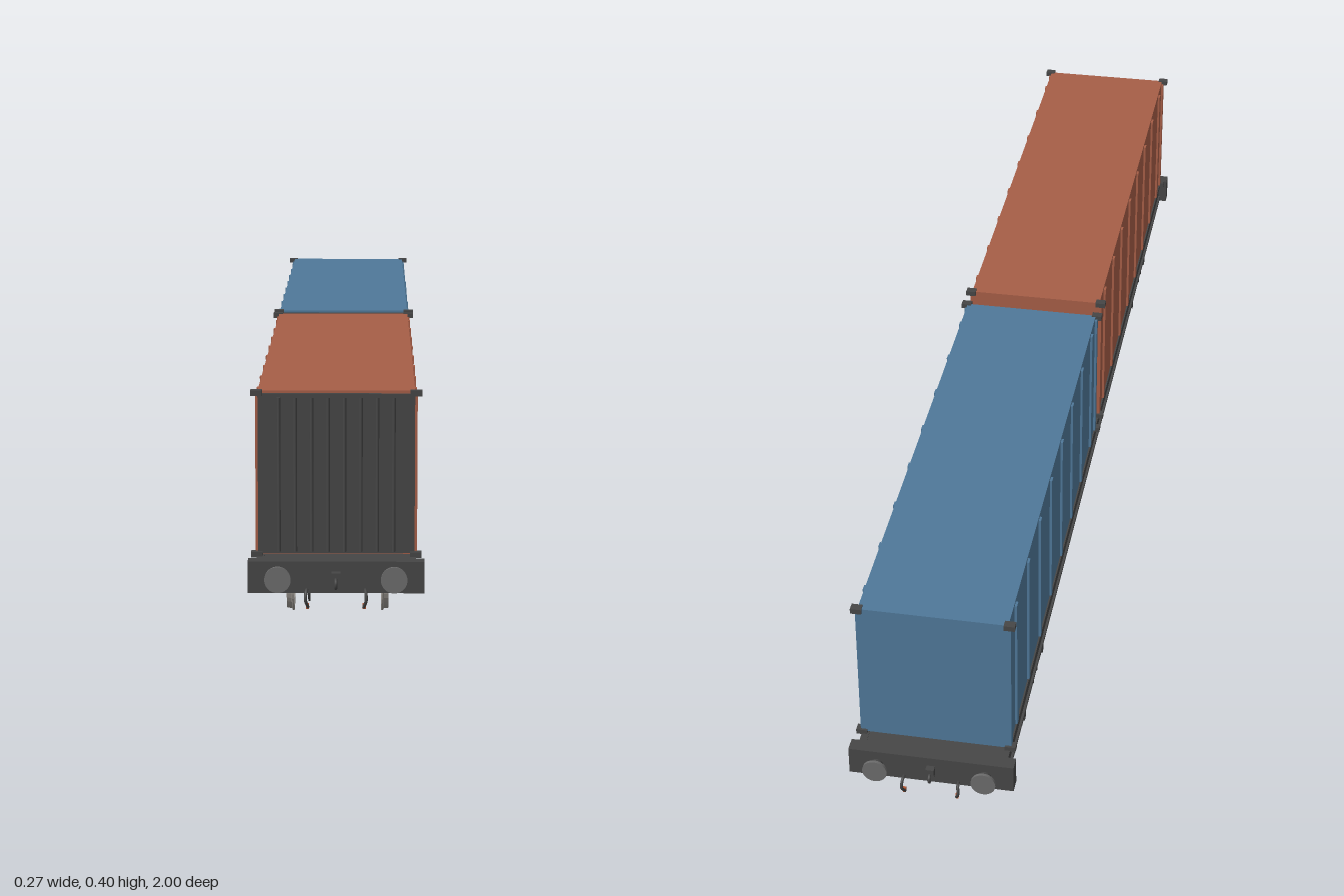
import * as THREE from 'three';

const mat = (name, color, side = THREE.FrontSide) => {
  const m = new THREE.MeshStandardMaterial({ color, side });
  m.name = name;
  return m;
};

export function createModel() {
  const dark = mat('dark steel', 0x464646);
  const red = mat('rust red', 0xa65e47);
  const blue = mat('steel blue', 0x4f7899);
  const wheelGrey = mat('wheel steel', 0x9a958f);
  const bufferGrey = mat('buffer grey', 0x6c6c6c);
  const orange = mat('tap orange', 0xb0532f);

  const root = new THREE.Group();
  root.name = 'containerWagon';

  const add = (parent, name, geo, material, x = 0, y = 0, z = 0) => {
    const m = new THREE.Mesh(geo, material);
    m.name = name;
    m.position.set(x, y, z);
    parent.add(m);
    return m;
  };
  const box = (p, name, m, w, h, d, x, y, z) => add(p, name, new THREE.BoxGeometry(w, h, d), m, x, y, z);
  const group = (p, name) => {
    const g = new THREE.Group();
    g.name = name;
    p.add(g);
    return g;
  };
  const cylX = (r, len, seg = 24) => new THREE.CylinderGeometry(r, r, len, seg).rotateZ(Math.PI / 2);
  const cylZ = (r, len, seg = 24) => new THREE.CylinderGeometry(r, r, len, seg).rotateX(Math.PI / 2);

  // Shipping container: ribbed sides, plain back, dark corrugated doors in front
  function container(name, paint, z0, z1) {
    const g = group(root, name);
    const len = z1 - z0, mid = (z0 + z1) / 2;
    box(g, 'containerBody', paint, 0.244, 0.258, len, 0, 0.265, mid);
    for (const s of [-1, 1]) {
      for (let i = 0; i < 8; i++)
        box(g, 'sideRib', paint, 0.005, 0.25, 0.012, s * 0.1235, 0.264, mid + (i - 3.5) * 0.113);
      for (const end of [z0 + 0.006, z1 - 0.006])
        box(g, 'cornerPost', paint, 0.005, 0.25, 0.012, s * 0.1235, 0.264, end);
    }
    box(g, 'doorPanel', dark, 0.244, 0.252, 0.005, 0, 0.264, z1 + 0.0025);
    for (let i = 0; i < 8; i++)
      add(g, 'doorRib', new THREE.CylinderGeometry(0.0028, 0.0028, 0.243, 8), dark, (i - 3.5) * 0.0255, 0.262, z1 + 0.005);
    for (const x of [-0.124, 0.124])
      for (const y of [0.136, 0.391])
        for (const z of [z0 + 0.003, z1 + 0.002])
          box(g, 'cornerCasting', dark, 0.018, 0.009, 0.014, x, y, z);
  }
  container('frontContainer', red, 0.022, 0.938);
  container('rearContainer', blue, -0.936, -0.022);

  // Underframe
  const frame = group(root, 'underframe');
  box(frame, 'deck', dark, 0.236, 0.022, 1.92, 0, 0.121, 0);
  for (const s of [-1, 1]) {
    box(frame, 'sideSillUpper', dark, 0.012, 0.01, 1.92, s * 0.118, 0.128, 0);
    box(frame, 'sideSillWeb', dark, 0.006, 0.035, 1.92, s * 0.117, 0.109, 0);
    box(frame, 'sideSillLower', dark, 0.014, 0.006, 1.92, s * 0.117, 0.092, 0);
    box(frame, 'centreSill', dark, 0.012, 0.02, 1.92, s * 0.03, 0.101, 0);
  }

  // Wheel profile with tread, flange and dished web, turned about the axle
  const wheelProfile = [
    [0.006, -0.006], [0.014, -0.006], [0.016, -0.002], [0.033, -0.002], [0.035, -0.006],
    [0.044, -0.006], [0.044, -0.003], [0.041, -0.002], [0.04, 0.006], [0.035, 0.006],
    [0.033, 0.002], [0.016, 0.002], [0.014, 0.006], [0.006, 0.006],
  ].map(([x, y]) => new THREE.Vector2(x, y));

  // Bogie side frame outline in (z, y): high over the axle boxes, deep in the middle
  const side = new THREE.Shape([
    [-0.138, 0.088], [-0.138, 0.07], [-0.112, 0.056], [-0.07, 0.056], [-0.052, 0.066],
    [-0.035, 0.052], [0.035, 0.052], [0.052, 0.066], [0.07, 0.056], [0.112, 0.056],
    [0.138, 0.07], [0.138, 0.088], [0.06, 0.08], [0.045, 0.09], [-0.045, 0.09], [-0.06, 0.08],
  ].map(([x, y]) => new THREE.Vector2(x, y)));
  const sideGeo = new THREE.ExtrudeGeometry(side, { depth: 0.012, bevelEnabled: false })
    .rotateY(-Math.PI / 2).translate(0.006, 0, 0);

  function bogie(z) {
    const g = group(root, 'bogie');
    g.position.z = z;
    box(g, 'bolster', dark, 0.2, 0.014, 0.06, 0, 0.07, 0);
    add(g, 'pivot', new THREE.CylinderGeometry(0.02, 0.02, 0.022, 20), dark, 0, 0.086, 0);
    for (const s of [-1, 1]) {
      add(g, 'sideFrame', sideGeo, dark, s * 0.102, 0, 0);
      for (const k of [-0.017, 0.017])
        add(g, 'spring', new THREE.CylinderGeometry(0.009, 0.009, 0.03, 12), dark, s * 0.11, 0.071, k);
    }
    for (const az of [-0.09, 0.09]) {
      const set = group(g, 'wheelset');
      set.position.set(0, 0.044, az);
      add(set, 'axle', cylX(0.007, 0.19, 16), dark);
      for (const s of [-1, 1]) {
        const geo = new THREE.LatheGeometry(wheelProfile, 32).toNonIndexed();
        geo.computeVertexNormals();
        const wheel = add(set, 'wheel', geo, wheelGrey, s * 0.077);
        wheel.rotation.z = s * -Math.PI / 2;
        add(set, 'brakeDisc', cylX(0.029, 0.003), dark, s * 0.047);
        box(set, 'axleBox', dark, 0.022, 0.026, 0.03, s * 0.102, 0, 0);
        add(set, 'axleBoxCap', cylX(0.009, 0.004, 16), dark, s * 0.114);
      }
    }
  }
  bogie(0.665);
  bogie(-0.663);

  // Wagon ends: headstock, buffers, coupling hook and brake hoses
  function wagonEnd(turn) {
    const g = group(root, turn ? 'rearEnd' : 'frontEnd');
    g.rotation.y = turn;
    box(g, 'headstock', dark, 0.274, 0.05, 0.024, 0, 0.108, 0.968);
    box(g, 'coupler', dark, 0.014, 0.016, 0.012, 0, 0.109, 0.985);
    const hook = add(g, 'couplingHook', new THREE.TorusGeometry(0.007, 0.0025, 8, 16, Math.PI * 1.4), dark, 0, 0.1, 0.99);
    hook.rotation.set(0, Math.PI / 2, 0);
    for (const s of [-1, 1]) {
      add(g, 'bufferStem', cylZ(0.01, 0.016, 16), dark, s * 0.09, 0.108, 0.986);
      add(g, 'bufferHead', cylZ(0.0205, 0.005, 32), bufferGrey, s * 0.09, 0.108, 0.9975);
      const path = new THREE.CatmullRomCurve3([
        new THREE.Vector3(s * 0.045, 0.088, 0.975), new THREE.Vector3(s * 0.046, 0.088, 0.989),
        new THREE.Vector3(s * 0.047, 0.075, 0.994), new THREE.Vector3(s * 0.043, 0.062, 0.987),
      ]);
      add(g, 'brakeHose', new THREE.TubeGeometry(path, 12, 0.0025, 8), dark);
      box(g, 'hoseTap', orange, 0.005, 0.008, 0.005, s * 0.044, 0.064, 0.986);
    }
  }
  wagonEnd(0);
  wagonEnd(Math.PI);

  return root;
}
